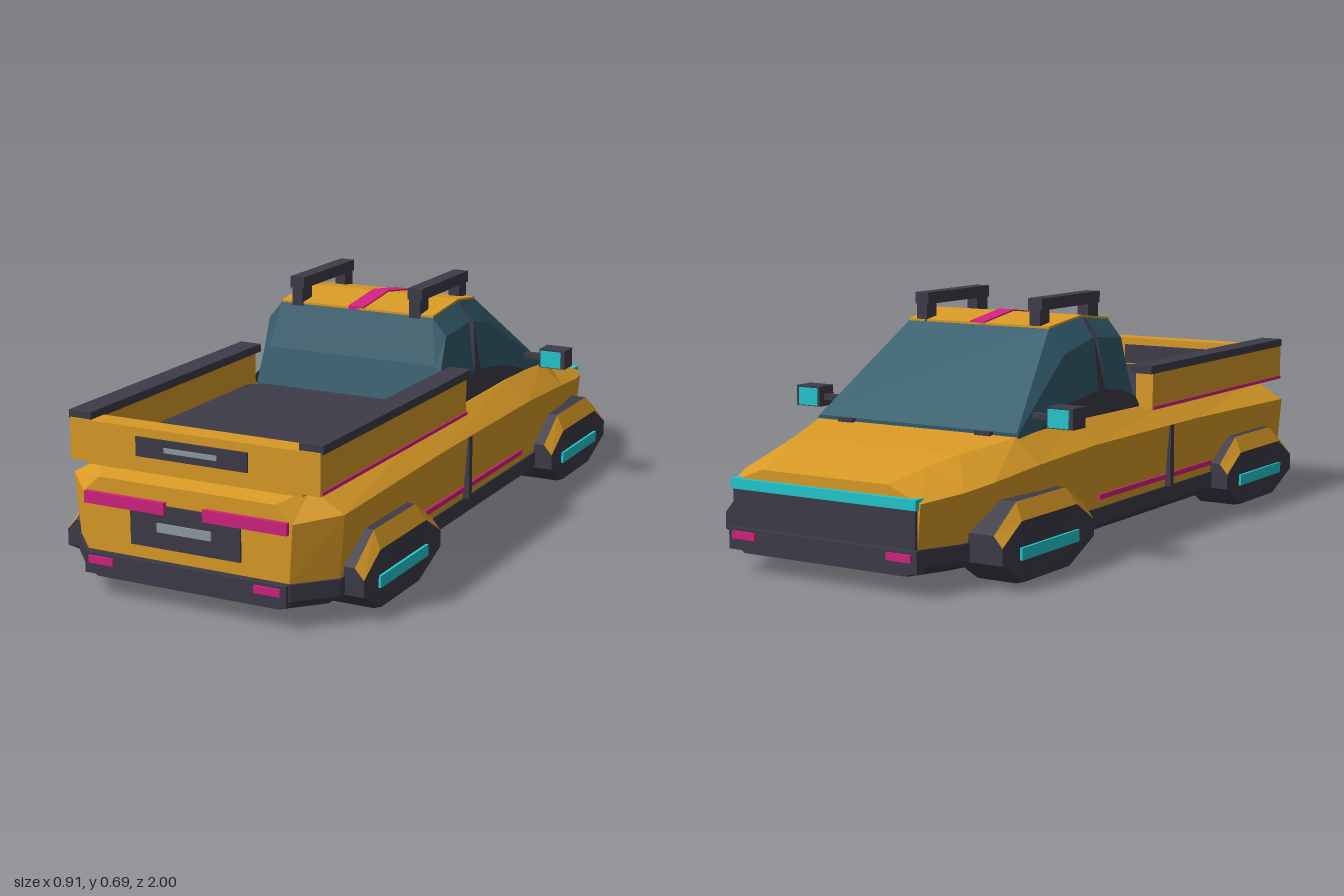
import * as THREE from 'three';

const mat = (name, color, extra = {}) => {
  const m = new THREE.MeshStandardMaterial({ color, flatShading: true, ...extra });
  m.name = name;
  return m;
};

export function createModel() {
  const paint = mat('amber paint', 0xd99a26);
  const dark = mat('dark trim', 0x3d3b48, { side: THREE.DoubleSide });
  const glass = mat('teal glass', 0x315b6c);
  const cyan = mat('cyan glow', 0x22c8d0);
  const pink = mat('magenta light', 0xd2217f);
  const grey = mat('grey metal', 0x8d9aa3);

  const car = new THREE.Group();
  car.name = 'pickup';

  const add = (name, geometry, material) => {
    const m = new THREE.Mesh(geometry, material);
    m.name = name;
    car.add(m);
    return m;
  };
  // Box given by its min and max on every axis
  const box = (name, material, x0, x1, y0, y1, z0, z1) => {
    const m = add(name, new THREE.BoxGeometry(x1 - x0, y1 - y0, z1 - z0), material);
    m.position.set((x0 + x1) / 2, (y0 + y1) / 2, (z0 + z1) / 2);
    return m;
  };
  // The same box on both sides
  const pair = (name, material, x0, x1, ...rest) => {
    box(name + 'Left', material, x0, x1, ...rest);
    box(name + 'Right', material, -x1, -x0, ...rest);
  };

  // Closed solid through rings of equal length; isAccent(ring, edge) picks material 1
  const loft = (rings, isAccent = () => false) => {
    const sets = [[], []];
    const n = rings[0].length;
    const tri = (set, a, b, c) => set.push(a, b, c);
    for (let r = 0; r < rings.length - 1; r++) {
      for (let i = 0; i < n; i++) {
        const j = (i + 1) % n, set = sets[isAccent(r, i) ? 1 : 0];
        const [a, b, c, d] = [rings[r][i], rings[r][j], rings[r + 1][j], rings[r + 1][i]];
        tri(set, a, b, c);
        tri(set, a, c, d);
      }
    }
    const last = rings[rings.length - 1];
    for (let i = 1; i < n - 1; i++) {
      tri(sets[0], rings[0][0], rings[0][i + 1], rings[0][i]);
      tri(sets[0], last[0], last[i], last[i + 1]);
    }
    // Turn the faces outward by the sign of the volume
    const all = [...sets[0], ...sets[1]].map(p => new THREE.Vector3(...p));
    let volume = 0;
    for (let i = 0; i < all.length; i += 3) volume += all[i].dot(all[i + 1].clone().cross(all[i + 2]));
    if (volume < 0) for (let i = 0; i < all.length; i += 3) [all[i], all[i + 1]] = [all[i + 1], all[i]];
    const g = new THREE.BufferGeometry().setFromPoints(all);
    g.addGroup(0, sets[0].length, 0);
    g.addGroup(sets[0].length, sets[1].length, 1);
    g.computeVertexNormals();
    return g;
  };
  // Symmetric cross-section at z from half-profile points [x, y]
  const section = (z, ...half) => [
    ...half.map(([x, y]) => [x, y, z]),
    ...half.slice().reverse().map(([x, y]) => [-x, y, z]),
  ];

  // Main body: z, bottom width, shoulder x and y, top x and y
  const bodyStations = [
    [0.975, 0.30, 0.31, 0.275, 0.26, 0.32],
    [0.88, 0.39, 0.405, 0.288, 0.31, 0.342],
    [0.30, 0.39, 0.405, 0.30, 0.33, 0.352],
    [-0.30, 0.39, 0.405, 0.30, 0.33, 0.358],
    [-0.58, 0.385, 0.398, 0.285, 0.325, 0.35],
    [-0.76, 0.36, 0.375, 0.263, 0.268, 0.326],
    [-0.86, 0.34, 0.352, 0.25, 0.235, 0.305],
    [-0.975, 0.29, 0.30, 0.235, 0.20, 0.275],
  ];
  add('body', loft(bodyStations.map(([z, b, sx, sy, tx, ty]) =>
    section(z, [b, 0.12], [sx, sy], [tx, ty]))), paint);
  add('skirt', loft(bodyStations.map(([z, b]) =>
    section(z * 1.006, [b - 0.03, 0.05], [b + 0.005, 0.075], [b + 0.005, 0.12]))), dark);

  // Bumpers with small corner lights, rear (+z) and nose (-z)
  for (const s of [1, -1]) {
    const zz = (a, b) => [Math.min(s * a, s * b), Math.max(s * a, s * b)];
    box('bumper', dark, -0.30, 0.30, 0.06, 0.118, ...zz(0.96, 0.993));
    pair('cornerLight', pink, 0.21, 0.285, 0.09, 0.11, ...zz(0.991, 1.0));
  }

  // Tail
  pair('tailLight', pink, 0.057, 0.30, 0.248, 0.28, 0.972, 0.988);
  box('rearPanel', dark, -0.163, 0.163, 0.155, 0.27, 0.972, 0.981);
  box('rearPanelBar', grey, -0.08, 0.08, 0.2, 0.224, 0.98, 0.986);

  // Nose
  box('nosePanel', dark, -0.29, 0.29, 0.12, 0.222, -0.985, -0.97);
  box('noseLightBar', cyan, -0.295, 0.295, 0.22, 0.247, -0.99, -0.955);

  // Cargo bed
  pair('bedWall', paint, 0.315, 0.37, 0.345, 0.456, 0.08, 0.94);
  pair('bedRail', dark, 0.308, 0.376, 0.452, 0.475, 0.06, 0.935);
  box('tailgate', paint, -0.32, 0.32, 0.338, 0.455, 0.875, 0.94);
  box('tailgatePanel', dark, -0.165, 0.165, 0.38, 0.432, 0.936, 0.945);
  box('tailgateBar', grey, -0.078, 0.078, 0.4, 0.413, 0.944, 0.949);
  box('tailgateInnerPanel', dark, -0.165, 0.165, 0.37, 0.432, 0.869, 0.878);
  const floorShape = new THREE.Shape([
    [0.26, -0.875], [0.315, -0.82], [0.315, -0.13], [0.26, -0.075],
    [-0.26, -0.075], [-0.315, -0.13], [-0.315, -0.82], [-0.26, -0.875],
  ].map(p => new THREE.Vector2(...p)));
  const floor = new THREE.ExtrudeGeometry(floorShape, { depth: 0.014, bevelEnabled: false });
  add('bedFloor', floor.rotateX(-Math.PI / 2).translate(0, 0.352, 0), dark);
  pair('bedStripe', pink, 0.365, 0.374, 0.347, 0.356, 0.08, 0.935);

  // Side trim
  pair('sideStripe', pink, 0.39, 0.399, 0.143, 0.157, -0.27, 0.40);
  pair('doorSeam', dark, 0.388, 0.409, 0.12, 0.30, 0.12, 0.14);

  // Cabin glass: z, base x, mid x and y, top x and y
  const cabin = [
    [-0.575, 0.33, 0.328, 0.356, 0.325, 0.36],
    [-0.27, 0.322, 0.285, 0.535, 0.235, 0.603],
    [-0.12, 0.32, 0.29, 0.57, 0.25, 0.625],
    [0.04, 0.315, 0.287, 0.555, 0.245, 0.605],
    [0.075, 0.31, 0.288, 0.46, 0.27, 0.475],
    [0.10, 0.305, 0.30, 0.352, 0.29, 0.354],
  ];
  add('cabinGlass', loft(cabin.map(([z, b, mx, my, tx, ty]) =>
    section(z, [b, 0.345], [mx, my], [tx, ty]))), glass);
  const roof = (name, material, width, lift) => add(name, loft(cabin.slice(1, 4).map(
    ([z, , , , tx, ty]) => section(z, [width || tx, ty - 0.002], [width || tx, ty + lift]))), material);
  roof('roof', paint, 0, 0.006);
  roof('roofStripe', pink, 0.025, 0.01);

  // Dark sill and centre pillar, bent to the cabin side
  const sillShape = new THREE.Shape([
    [0.085, 0.352], [0.065, 0.385], [0, 0.41], [-0.1, 0.425], [-0.112, 0.57], [-0.115, 0.622],
    [-0.125, 0.622], [-0.128, 0.57], [-0.14, 0.425], [-0.3, 0.405], [-0.46, 0.355],
  ].map(p => new THREE.Vector2(...p)));
  for (const s of [1, -1]) {
    const g = new THREE.ShapeGeometry(sillShape);
    const p = g.attributes.position;
    for (let i = 0; i < p.count; i++) {
      const z = p.getX(i), y = p.getY(i);
      const x = y > 0.57 ? 0.29 - (y - 0.57) * 0.73 : 0.32 - (y - 0.345) * 0.133;
      p.setXYZ(i, s * (x + 0.007), y, z);
    }
    g.computeVertexNormals();
    add('sillAndPillar', g, dark);
  }

  // Roof rails
  pair('roofRail', dark, 0.168, 0.213, 0.652, 0.685, -0.27, 0.045);
  pair('roofRailRearPost', dark, 0.173, 0.207, 0.6, 0.655, -0.012, 0.045);
  pair('roofRailFrontPost', dark, 0.173, 0.207, 0.6, 0.655, -0.27, -0.222);

  // Mirrors and wipers
  pair('mirrorArm', dark, 0.30, 0.39, 0.388, 0.404, -0.49, -0.468);
  pair('mirror', dark, 0.375, 0.457, 0.37, 0.427, -0.51, -0.448);
  pair('mirrorGlass', cyan, 0.381, 0.445, 0.373, 0.422, -0.449, -0.443);
  pair('mirrorLamp', cyan, 0.381, 0.445, 0.373, 0.422, -0.515, -0.509);
  pair('wiper', dark, 0.2, 0.25, 0.345, 0.36, -0.59, -0.575);

  // Hover pods in place of wheels
  const podRing = (x, cz, lowHalf, lowY, midLow, midHigh, topHalf, topY, bottomX = x) => [
    [bottomX, lowY, cz - lowHalf], [x, midLow, cz - 0.225], [x, midHigh, cz - 0.225], [x, topY, cz - topHalf],
    [x, topY, cz + topHalf], [x, midHigh, cz + 0.225], [x, midLow, cz + 0.225], [bottomX, lowY, cz + lowHalf],
  ];
  for (const cz of [0.635, -0.61]) {
    for (const s of [1, -1]) {
      const rings = [
        podRing(0.305, cz, 0.12, 0.004, 0.07, 0.145, 0.12, 0.215),
        podRing(0.422, cz, 0.12, 0.004, 0.07, 0.145, 0.12, 0.215),
        podRing(0.448, cz, 0.11, 0.008, 0.07, 0.115, 0.135, 0.17, 0.44),
      ].map(r => r.map(([x, y, z]) => [s * x, y, z]));
      // Upper outer slant is painted
      add('hoverPod', loft(rings, (r, i) => r === 1 && i >= 2 && i <= 4), [dark, paint]);
      const [a, b] = s > 0 ? [0.445, 0.453] : [-0.453, -0.445];
      box('podLight', cyan, a, b, 0.07, 0.102, cz - 0.14, cz + 0.14);
      const [c, d] = s > 0 ? [0.32, 0.42] : [-0.42, -0.32];
      box('podThruster', cyan, c, d, 0, 0.006, cz - 0.09, cz + 0.09);
    }
  }
  return car;
}
